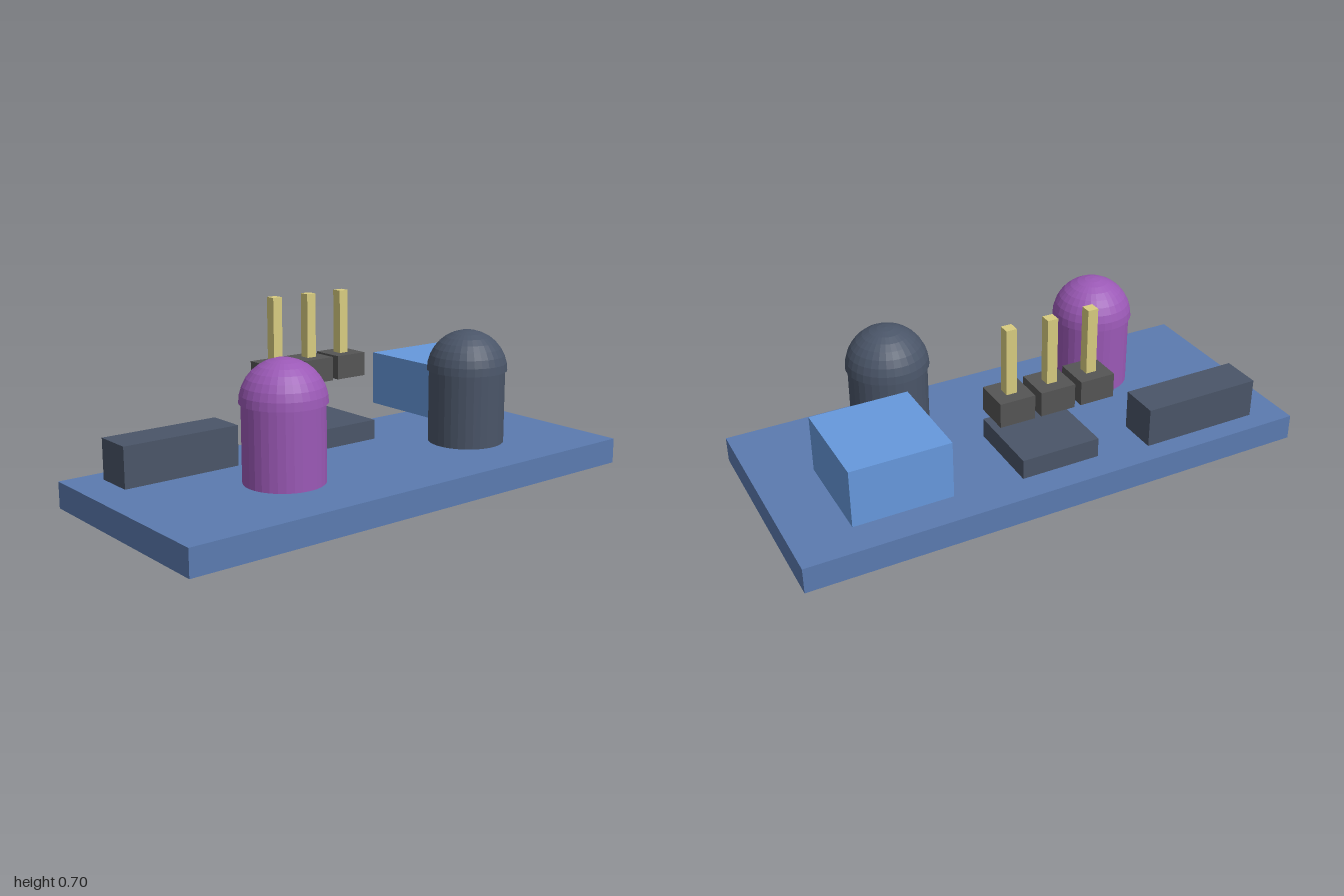
import * as THREE from 'three';

const material = (color, extra = {}) => Object.assign(new THREE.MeshStandardMaterial({ color }), extra);

const boardBlue = material(0x5b7bb0);
const slate = material(0x4a5568);
const blue = material(0x6699dd);
const charcoal = material(0x555555);
const brass = material(0xd8cc80);

// Box given by its extents along each axis
function box(name, mat, [x0, x1], [y0, y1], [z0, z1]) {
  const mesh = new THREE.Mesh(new THREE.BoxGeometry(x1 - x0, y1 - y0, z1 - z0), mat);
  mesh.position.set((x0 + x1) / 2, (y0 + y1) / 2, (z0 + z1) / 2);
  mesh.name = name;
  return mesh;
}

// Round lamp: a faceted cylinder under a slightly wider dome
function lamp(name, color, x) {
  const group = new THREE.Group();
  group.name = name;
  const body = new THREE.Mesh(
    new THREE.CylinderGeometry(0.147, 0.147, 0.282, 32),
    material(color, { flatShading: true }));
  body.name = 'lampBody';
  body.position.y = 0.274;
  const dome = new THREE.Mesh(
    new THREE.SphereGeometry(0.155, 32, 8, 0, Math.PI * 2, 0, Math.PI / 2),
    material(color, { flatShading: true, side: THREE.DoubleSide }));
  dome.name = 'lampDome';
  dome.position.y = 0.415;
  group.add(body, dome);
  group.position.set(x, 0, 0.157);
  return group;
}

export function createModel() {
  const model = new THREE.Group();
  model.name = 'circuitBoard';

  // Board and the parts mounted on it
  model.add(
    box('board', boardBlue, [-1, 1], [0, 0.1], [-0.4375, 0.4375]),
    box('connectorBlock', slate, [-0.864, -0.39], [0.1, 0.255], [-0.356, -0.2]),
    box('chip', slate, [-0.155, 0.154], [0.14, 0.216], [-0.375, -0.061]),
    box('adjusterBlock', blue, [0.438, 0.808], [0.18, 0.398], [-0.405, -0.03]),
    lamp('rightLamp', 0x9b59b6, -0.438),
    lamp('leftLamp', 0x4a5568, 0.437));

  // Three pin header
  for (const x of [-0.16, 0, 0.16]) {
    const header = new THREE.Group();
    header.name = 'headerPin';
    header.add(
      box('pinBase', charcoal, [-0.0675, 0.0675], [0.36, 0.453], [-0.346, -0.211]),
      box('pin', brass, [-0.02, 0.02], [0.4, 0.702], [-0.299, -0.258]));
    header.position.x = x;
    model.add(header);
  }
  return model;
}
